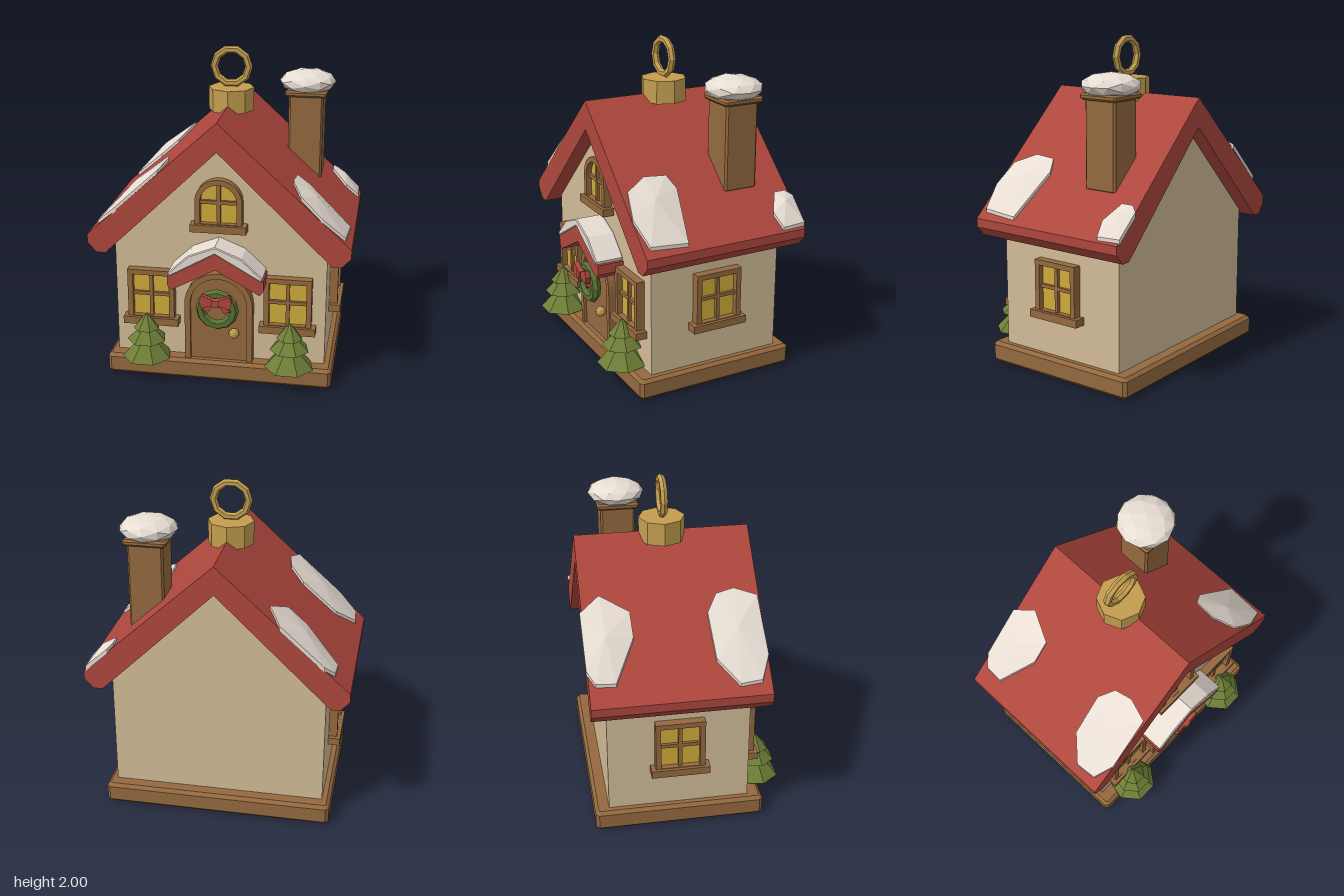
import * as THREE from 'three';

const mat = (name, color) => Object.assign(new THREE.MeshStandardMaterial({ color }), { name });

export function createModel() {
  const wall = mat('cream wall', 0xd2bc98), red = mat('red roof', 0xae473d), wood = mat('brown wood', 0x94693f);
  const gold = mat('gold', 0xc49e50), glass = mat('yellow glass', 0xd0ab3a), snow = mat('snow', 0xe9dfd5);
  const green = mat('tree green', 0x6e7e36), wreathGreen = mat('wreath green', 0x58702f);
  const root = new THREE.Group();

  // faceted mesh added to a parent
  const add = (name, geo, material, x = 0, y = 0, z = 0, parent = root) => {
    const g = geo.index ? geo.toNonIndexed() : geo;
    g.computeVertexNormals();
    const m = new THREE.Mesh(g, material);
    m.name = name;
    m.position.set(x, y, z);
    parent.add(m);
    return m;
  };
  const poly = pts => new THREE.Shape(pts.map(p => new THREE.Vector2(p[0], p[1])));
  const extrude = (shape, depth, bevel = 0) => {
    const g = new THREE.ExtrudeGeometry(shape, {
      depth: depth - 2 * bevel, bevelEnabled: bevel > 0, bevelSize: bevel, bevelThickness: bevel,
      bevelOffset: -bevel, bevelSegments: 1, curveSegments: 10,
    });
    return g.translate(0, 0, bevel);
  };
  // symmetric outline from its right half, apex to apex
  const mirrored = half => poly([...half, ...half.slice(1, -1).reverse().map(([x, y]) => [-x, y])]);
  // box with all edges chamfered, standing on y = 0
  const chamferBox = (w, h, d, c) => {
    const x = w / 2, z = d / 2;
    const s = poly([[x - c, -z], [x, c - z], [x, z - c], [x - c, z], [c - x, z], [-x, z - c], [-x, c - z], [c - x, -z]]);
    return extrude(s, h, c).rotateX(-Math.PI / 2);
  };
  // upright rectangle or round-topped opening
  const opening = (w, y0, y1, arched) => {
    const s = new THREE.Shape(), r = w / 2;
    s.moveTo(-r, y0);
    s.lineTo(r, y0);
    if (arched) s.absarc(0, y1 - r, r, 0, Math.PI, false);
    else s.lineTo(r, y1).lineTo(-r, y1);
    s.closePath();
    return s;
  };

  // base and house body
  add('base', chamferBox(1.4, 0.13, 1.035, 0.02), wood, 0, 0, -0.06);
  add('walls', extrude(mirrored([[0, 1.5], [0.65, 0.88], [0.65, 0.12], [0, 0.12]]), 0.86), wall, 0, 0, -0.493);
  const roofTop = x => 1.66 - 0.915 * Math.abs(x);
  add('roof', extrude(mirrored([[0, 1.66], [0.795, 0.933], [0.795, 0.88], [0.74, 0.82], [0.685, 0.82], [0, 1.485]]), 1.056),
    red, 0, 0, -0.589);

  // chimney
  add('chimney', chamferBox(0.215, 0.54, 0.215, 0.012), wood, 0.447, 1.15, -0.283);
  add('chimneyRim', chamferBox(0.26, 0.04, 0.26, 0.012), wood, 0.447, 1.673, -0.283);
  add('chimneySnow', new THREE.IcosahedronGeometry(0.176, 1).scale(1, 0.43, 1), snow, 0.447, 1.753, -0.283);

  // hanger cap and ring
  add('hangerCap', new THREE.CylinderGeometry(0.14, 0.14, 0.14, 8), gold, 0, 1.68, -0.06);
  add('hangerRing', new THREE.TorusGeometry(0.107, 0.023, 6, 10), gold, 0, 1.876, -0.06);

  // snow patches: low domes lying on the slopes, outline given as x, z
  const patches = [
    [[-0.64, -0.595], [-0.38, -0.6], [-0.306, -0.48], [-0.39, -0.31], [-0.505, -0.305], [-0.705, -0.433], [-0.7, -0.55]],
    [[-0.75, 0.28], [-0.63, 0.16], [-0.42, 0.145], [-0.335, 0.21], [-0.315, 0.32], [-0.355, 0.455], [-0.63, 0.468], [-0.74, 0.41]],
    [[0.51, 0.125], [0.77, 0.19], [0.755, 0.425], [0.62, 0.465], [0.49, 0.433], [0.43, 0.3], [0.44, 0.16]],
    [[0.64, -0.6], [0.78, -0.595], [0.785, -0.445], [0.705, -0.42], [0.61, -0.485], [0.61, -0.56]],
  ];
  for (const pts of patches) {
    const n = pts.length, v = [];
    const cx = pts.reduce((s, p) => s + p[0], 0) / n, cz = pts.reduce((s, p) => s + p[1], 0) / n;
    const at = ([x, z], lift) => [x, roofTop(x) + lift, z];
    pts.forEach((a, i) => {
      const b = pts[(i + 1) % n], lift = 0.022;
      v.push(...at([cx, cz], 0.06), ...at(b, lift), ...at(a, lift));
      v.push(...at(b, -0.01), ...at(a, -0.01), ...at(a, lift));
      v.push(...at(b, -0.01), ...at(a, lift), ...at(b, lift));
    });
    const g = new THREE.BufferGeometry();
    g.setAttribute('position', new THREE.Float32BufferAttribute(v, 3));
    add('roofSnow', g, snow);
  }

  // windows: origin at the bottom centre of the frame, facing +z
  const addWindow = (x, y, z, turn, w, h, arched) => {
    const g = new THREE.Group(), t = 0.032;
    g.name = 'window';
    g.position.set(x, y, z);
    g.rotation.y = turn;
    const frame = opening(w, 0, h, arched);
    frame.holes.push(opening(w - 2 * t, 0.004, h - t, arched));
    add('windowFrame', extrude(frame, 0.055), wood, 0, 0, 0, g);
    add('windowGlass', extrude(opening(w - 2 * t, 0.004, h - t, arched), 0.008), glass, 0, 0, 0.012, g);
    add('mullion', new THREE.BoxGeometry(0.022, h - t, 0.03), wood, 0, (h - t) / 2, 0.025, g);
    add('crossBar', new THREE.BoxGeometry(w - 2 * t, 0.022, 0.026), wood, 0, h * 0.48, 0.025, g);
    add('sill', new THREE.BoxGeometry(w + 0.055, 0.047, 0.075), wood, 0, -0.0235, 0.0375, g);
    root.add(g);
  };
  for (const s of [-1, 1]) {
    addWindow(s * 0.422, 0.39, 0.365, 0, 0.29, 0.31, false);
    addWindow(s * 0.648, 0.415, -0.06, s * Math.PI / 2, 0.3, 0.31, false);
  }
  addWindow(0, 1.023, 0.365, 0, 0.285, 0.28, true);

  // door
  const doorFrame = opening(0.42, 0.125, 0.71, true);
  doorFrame.holes.push(opening(0.35, 0.126, 0.675, true));
  add('doorFrame', extrude(doorFrame, 0.065), wood, 0, 0, 0.365);
  add('door', extrude(opening(0.35, 0.126, 0.675, true), 0.045), wood, 0, 0, 0.365);
  add('doorKnob', new THREE.IcosahedronGeometry(0.033, 1), gold, 0.098, 0.325, 0.435);

  // porch roof with its snow
  add('porchRoof', extrude(mirrored([[0, 0.895], [0.29, 0.725], [0.29, 0.665], [0.268, 0.635], [0, 0.78]]), 0.17), red, 0, 0, 0.366);
  add('porchSnow', extrude(mirrored([[0, 0.93], [0.16, 0.865], [0.285, 0.748], [0.28, 0.725], [0, 0.885]]), 0.18, 0.006),
    snow, 0, 0, 0.366);

  // wreath and bow
  add('wreath', new THREE.TorusGeometry(0.102, 0.031, 6, 12), wreathGreen, 0, 0.495, 0.465);
  add('bowKnot', new THREE.BoxGeometry(0.042, 0.042, 0.04), red, 0, 0.563, 0.522);
  for (const s of [-1, 1]) {
    add('bowLoop', extrude(poly([[0, 0.575], [s * 0.085, 0.612], [s * 0.1, 0.57], [s * 0.085, 0.525], [0, 0.553]]), 0.032),
      red, 0, 0, 0.5);
    add('bowTail', extrude(poly([[0, 0.565], [s * 0.03, 0.56], [s * 0.092, 0.502], [s * 0.065, 0.503], [s * 0.055, 0.482]]), 0.018),
      red, 0, 0, 0.494);
  }

  // three-tiered trees beside the door
  for (const s of [-1, 1]) {
    add('treeTrunk', new THREE.CylinderGeometry(0.03, 0.03, 0.06, 7), wood, s * 0.443, 0.14, 0.425);
    for (const [r, y0, y1] of [[0.153, 0.145, 0.315], [0.122, 0.26, 0.385], [0.082, 0.335, 0.435]]) {
      add('treeTier', new THREE.ConeGeometry(r, y1 - y0, 7).rotateY(Math.PI / 7), green, s * 0.443, (y0 + y1) / 2, 0.455);
    }
  }
  return root;
}
